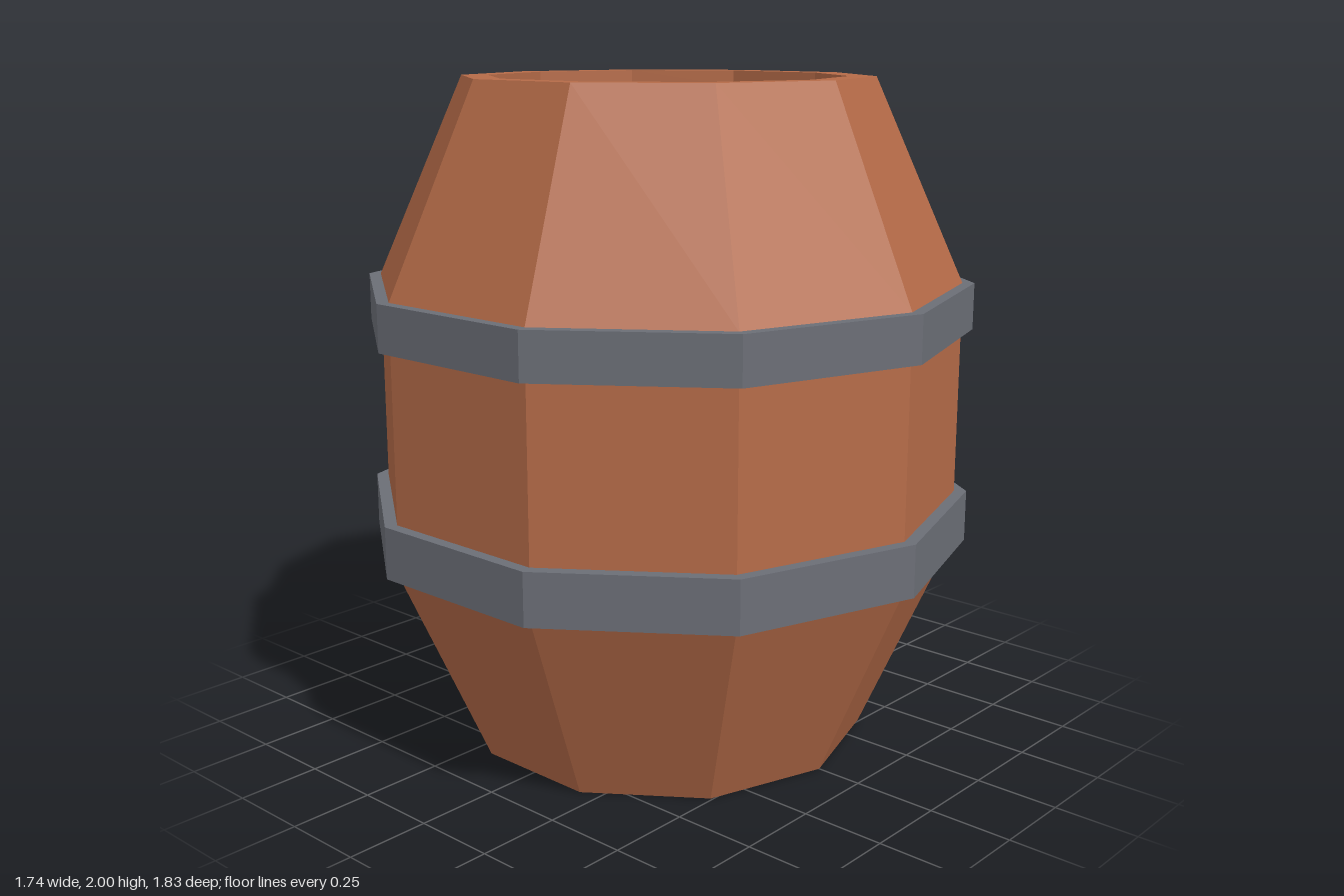
import * as THREE from 'three';

const SIDES = 10;

// Spins a profile of [radius, height] points, listed bottom to top on the outside
function spin(name, profile, material) {
  const points = profile.map(([r, y]) => new THREE.Vector2(r, y));
  const mesh = new THREE.Mesh(new THREE.LatheGeometry(points, SIDES), material);
  mesh.name = name;
  return mesh;
}

export function createModel() {
  const wood = new THREE.MeshStandardMaterial({ color: 0xb56b48, flatShading: true });
  const iron = new THREE.MeshStandardMaterial({ color: 0x6b6e76, flatShading: true });
  const barrel = new THREE.Group();
  barrel.name = 'barrel';

  // Staves with a raised rim around a recessed lid at each end
  const belly = 0.88, rim = 0.61, lid = 0.53, recess = 0.05;
  barrel.add(spin('body', [
    [0, recess], [lid, recess], [lid, 0], [rim, 0],
    [belly, 0.61], [belly, 1.4],
    [rim, 2], [lid, 2], [lid, 2 - recess], [0, 2 - recess],
  ], wood));

  // Metal hoops around the belly
  const hoops = [
    ['lowerHoop', 0.61, 0.765, 0.917],
    ['upperHoop', 1.265, 1.403, 0.914],
  ];
  for (const [name, y0, y1, r] of hoops) {
    const inner = belly - 0.01;
    barrel.add(spin(name, [[inner, y0], [r, y0], [r, y1], [inner, y1], [inner, y0]], iron));
  }
  return barrel;
}
